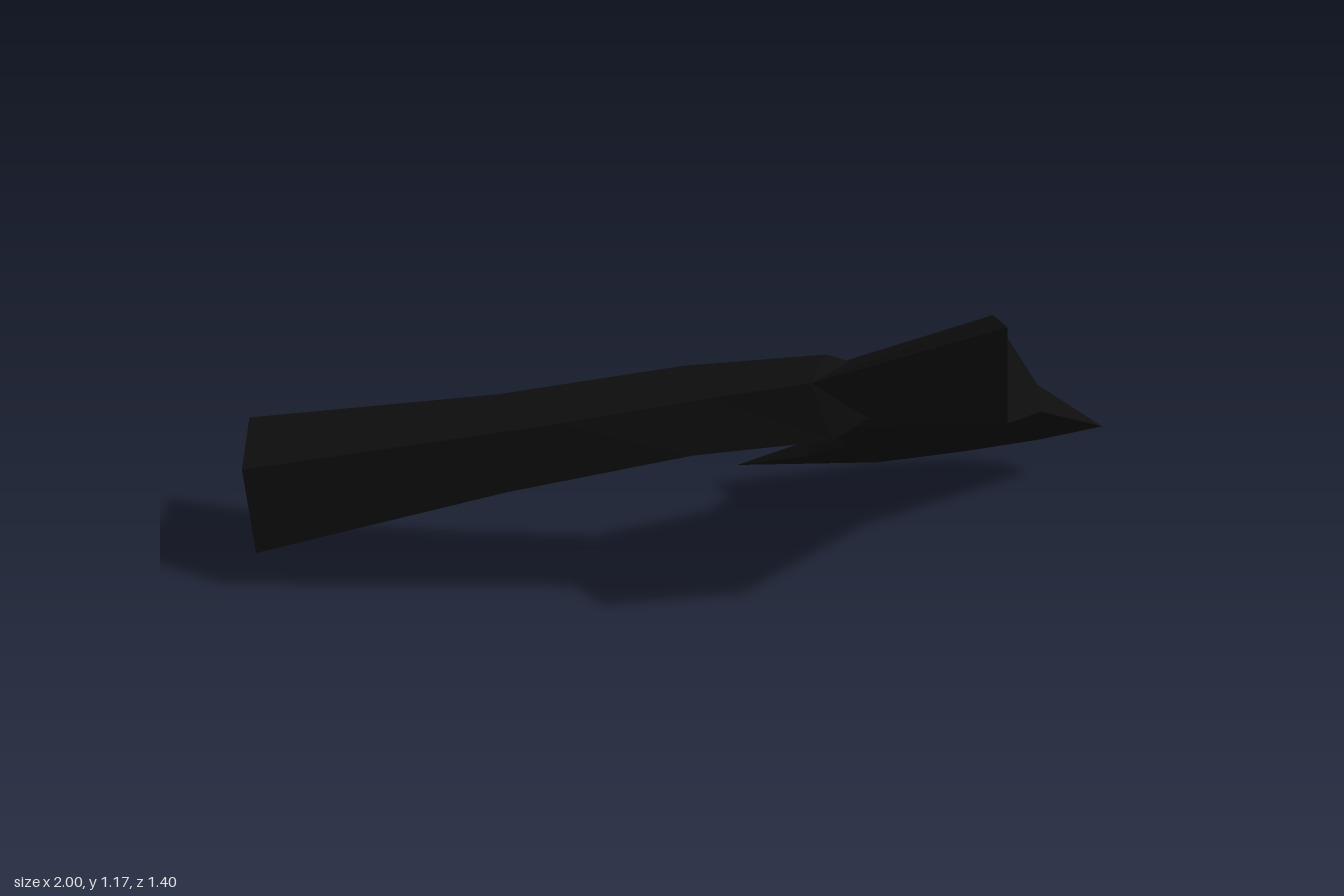
import * as THREE from 'three';

const V = (a) => new THREE.Vector3(...a);

// Flat-shaded mesh from quads and triangles of Vector3, skipping collapsed faces
function facetMesh(name, faces, material) {
  const pos = [];
  const tri = (a, b, c) => {
    const area = b.clone().sub(a).cross(c.clone().sub(a)).length();
    if (area > 1e-6) for (const p of [a, b, c]) pos.push(p.x, p.y, p.z);
  };
  for (const [a, b, c, d] of faces) {
    tri(a, b, c);
    if (d) tri(a, c, d);
  }
  const geo = new THREE.BufferGeometry();
  geo.setAttribute('position', new THREE.Float32BufferAttribute(pos, 3));
  geo.computeVertexNormals();
  const mesh = new THREE.Mesh(geo, material);
  mesh.name = name;
  return mesh;
}

export function createModel() {
  const group = new THREE.Group();
  group.name = 'axe';
  const black = new THREE.MeshStandardMaterial({ color: 0x0e0e0e, flatShading: true });
  black.name = 'black';

  // Unit normal of the plane in which the tilted axe lies
  const n = V([0.405, -0.659, 0.634]).normalize();
  const off = (p, t) => p.clone().addScaledVector(n, t);

  // Handle: diamond sections, each with back ridge, lower edge, front ridge, upper edge
  const sections = [
    [[-0.995, 0.39, 0.465], [-1, 0.11, 0.46], [-0.85, 0.15, 0.69], [-0.845, 0.435, 0.7]],
    [[-0.3, 0.605, 0.34], [-0.43, 0.385, 0.385], [-0.2, 0.44, 0.497], [-0.07, 0.665, 0.453]],
    [[0.15, 0.751, 0.215], [0.11, 0.58, 0.245], [0.24, 0.605, 0.356], [0.28, 0.777, 0.337]],
    [[0.47, 0.806, 0.095], [0.46, 0.65, 0.1], [0.55, 0.67, 0.235], [0.5, 0.845, 0.27]],
  ].map((s) => s.map(V));
  const handle = [[...sections[0]]];
  for (let i = 0; i < 3; i++) {
    for (let k = 0; k < 4; k++) {
      const m = (k + 1) % 4;
      const a = sections[i], b = sections[i + 1];
      handle.push([a[m], a[k], b[k], b[m]]);
    }
  }
  // Handle end tapers into the head
  const socket = V([0.72, 0.8, 0.1]);
  for (let k = 0; k < 4; k++) handle.push([sections[3][(k + 1) % 4], sections[3][k], socket]);
  group.add(facetMesh('handle', handle, black));

  // Head: outline in the axe plane with half thickness at each point
  const outline = [
    [0.955, 1.168, 0.32, 0],      // spike tip
    [0.88, 0.855, 0.04, 0.13],    // thick back of the head
    [0.905, 0.555, -0.295, 0.035],
    [1, 0.225, -0.69, 0],         // cutting edge
    [0.83, 0.115, -0.7, 0],
    [0.62, 0.035, -0.65, 0],
    [0.41, 0, -0.545, 0],
    [0.1, 0.095, -0.25, 0],
    [0.31, 0.235, -0.235, 0.02],  // inner curve up to the handle
    [0.45, 0.42, -0.12, 0.035],
    [0.495, 0.71, 0.13, 0.075],
    [0.5, 0.845, 0.27, 0],
  ];
  const front = outline.map(([x, y, z, t]) => off(V([x, y, z]), t));
  const back = outline.map(([x, y, z, t]) => off(V([x, y, z]), -t));
  const facets = [
    [0, 1, 11], [1, 10, 11], [1, 2, 10], [2, 9, 10], [2, 3, 9],
    [3, 4, 9], [4, 5, 9], [5, 6, 9], [6, 8, 9], [6, 7, 8],
  ];
  const head = [];
  for (const [a, b, c] of facets) {
    head.push([front[c], front[b], front[a]], [back[a], back[b], back[c]]);
  }
  // Side walls around the outline
  for (let i = 0; i < outline.length; i++) {
    const j = (i + 1) % outline.length;
    head.push([front[i], front[j], back[j], back[i]]);
  }
  group.add(facetMesh('axeHead', head, black));

  return group;
}
